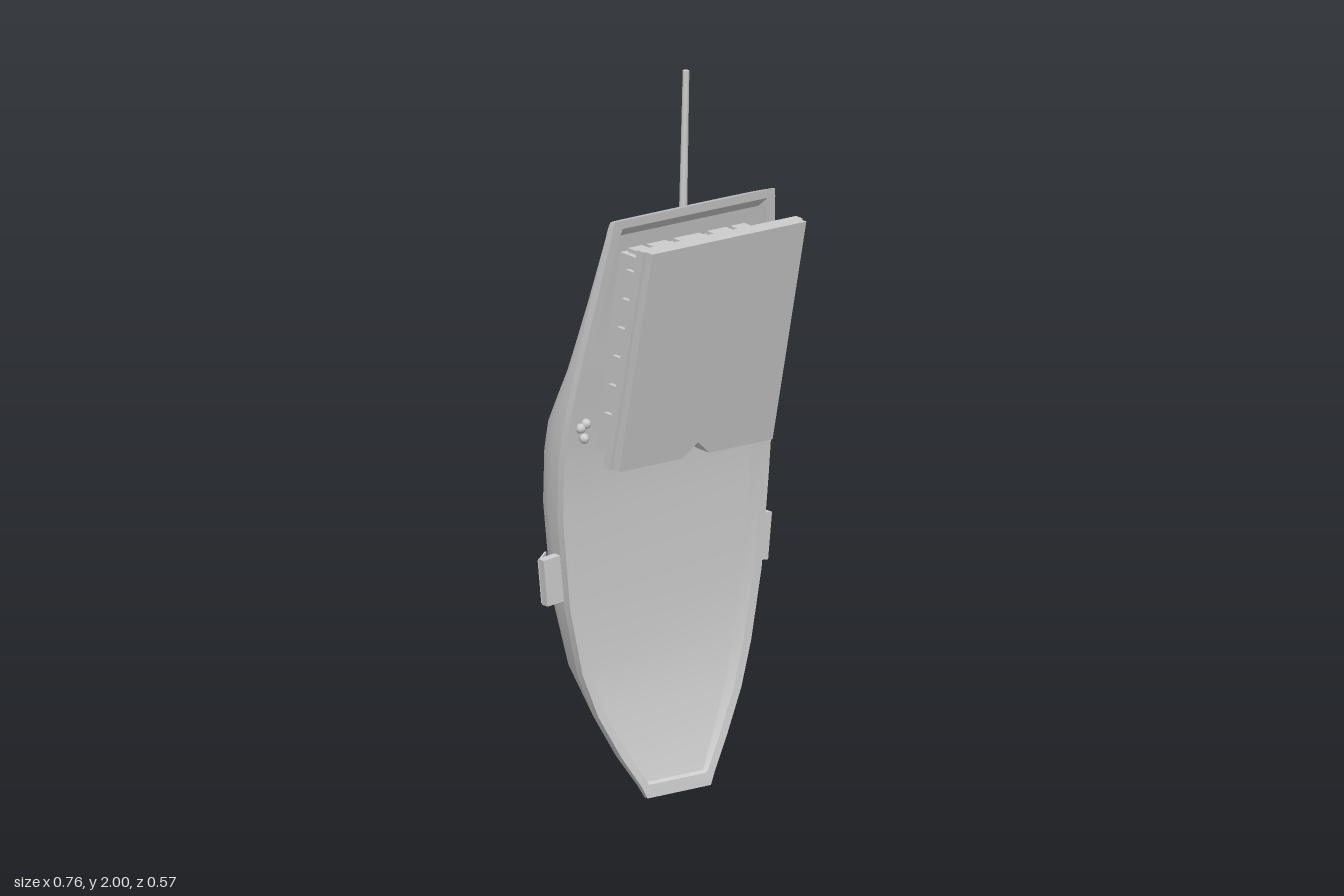
import * as THREE from 'three';
import { toCreasedNormals } from 'three/addons/utils/BufferGeometryUtils.js';

const material = new THREE.MeshStandardMaterial({ color: 0xcccccc, side: THREE.DoubleSide });

// Hull stations: y, half width, rim z, keel z, cockpit depth, section exponent
const STATIONS = [
  [0.0, 0.105, 0.06, 0.02, 0, 2],
  [0.035, 0.122, 0.055, 0.0, 0, 2],
  [0.04, 0.125, 0.054, -0.005, 0.012, 2],
  [0.12, 0.175, 0.037, -0.055, 0.022, 2],
  [0.24, 0.238, 0.018, -0.135, 0.032, 2],
  [0.36, 0.28, 0.005, -0.22, 0.04, 2.05],
  [0.55, 0.318, 0.0, -0.27, 0.04, 2.1],
  [0.8, 0.341, 0.0, -0.285, 0.04, 2.1],
  [0.95, 0.345, 0.01, -0.275, 0.04, 2.1],
  [1.03, 0.343, 0.022, -0.258, 0.04, 2.1],
  [1.12, 0.336, 0.037, -0.18, 0.04, 2.3],
  [1.2, 0.327, 0.052, -0.115, 0.04, 2.5],
  [1.26, 0.32, 0.062, -0.08, 0.04, 2.6],
  [1.4, 0.299, 0.086, -0.02, 0.04, 2.8],
  [1.59, 0.272, 0.12, 0.05, 0.03, 3],
  [1.62, 0.269, 0.126, 0.058, 0, 3],
  [1.645, 0.265, 0.13, 0.065, 0, 3],
];

// Closed cross-section: gunwale band, rounded bottom, then the cockpit recess
function hullSection([y, w, rim, keel, recess, e], index) {
  const depth = rim - keel;
  const band = Math.min(0.025, depth * 0.35);
  const points = [[w, rim], [w, rim - band]];
  const N = 16;
  for (let i = 0; i <= N; i++) {
    const a = (i / N) * Math.PI;
    const c = Math.cos(a), s = Math.sin(a);
    points.push([
      (w - 0.01) * Math.sign(c) * Math.abs(c) ** (2 / e),
      rim - band - (depth - band) * Math.abs(s) ** (2 / e),
    ]);
  }
  points.push([-w, rim - band], [-w, rim]);
  const inner = w - 0.026;
  points.push([-inner, rim], [-inner + 0.006, rim - recess], [inner - 0.006, rim - recess], [inner, rim]);
  // The transom slopes away from the rim
  const slant = index === STATIONS.length - 1 ? 0.02 : 0;
  return points.map(([x, z]) => [x, y - slant * (rim - z) / depth, z]);
}

function loft(sections) {
  const n = sections[0].length, last = sections.length - 1;
  const positions = sections.flat(2), indices = [];
  for (let i = 0; i < last; i++) {
    for (let j = 0; j < n; j++) {
      const a = i * n + j, b = i * n + (j + 1) % n;
      indices.push(a, b, b + n, a, b + n, a + n);
    }
  }
  for (let j = 1; j < n - 1; j++) {
    indices.push(0, j + 1, j, last * n, last * n + j, last * n + j + 1);
  }
  const g = new THREE.BufferGeometry();
  g.setAttribute('position', new THREE.Float32BufferAttribute(positions, 3));
  g.setIndex(indices);
  return toCreasedNormals(g, 0.6);
}

function polygon(points, depth) {
  const shape = new THREE.Shape(points.map(([x, y]) => new THREE.Vector2(x, y)));
  return new THREE.ExtrudeGeometry(shape, { depth, bevelEnabled: false });
}

// Slide every vertex in z with height, so the roof rises toward the stern
const SLOPE = 0.234;
const roofZ = (y) => SLOPE * (y - 0.95);
function shear(g) {
  const p = g.attributes.position;
  for (let i = 0; i < p.count; i++) p.setZ(i, p.getZ(i) + roofZ(p.getY(i)));
  g.computeVertexNormals();
  return g;
}

// Round-headed window, head along +y, extruded along +z
function archWindow(radius, height) {
  const s = new THREE.Shape();
  s.moveTo(-radius, 0);
  s.lineTo(radius, 0);
  s.lineTo(radius, height - radius);
  s.absarc(0, height - radius, radius, 0, Math.PI, false);
  s.closePath();
  return new THREE.ExtrudeGeometry(s, { depth: 0.014, bevelEnabled: false, curveSegments: 10 });
}

export function createModel() {
  const model = new THREE.Group();
  const add = (name, geometry, parent = model) => {
    const mesh = new THREE.Mesh(geometry, material);
    mesh.name = name;
    parent.add(mesh);
    return mesh;
  };

  add('hull', loft(STATIONS.map(hullSection)));

  // Cabin: walls from the deck up to the sloping roof
  const profile = [[0.97, -0.03], [1.54, 0.07], [1.54, roofZ(1.54) + 0.08], [0.97, roofZ(0.97) + 0.08]];
  const cabin = polygon(profile.map(([y, z]) => [-z, y]), 0.42);
  cabin.rotateY(Math.PI / 2).translate(-0.21, 0, 0);
  add('cabin', cabin);

  // Roof: two stacked slabs with a small notch in the forward edge
  const roofLayer = (w, z, depth) => shear(polygon([
    [-w, 0.95], [-0.045, 0.95], [0, 0.99], [0.045, 0.95], [w, 0.95], [w, 1.59], [-w, 1.59],
  ], depth).translate(0, 0, z));
  add('roofLower', roofLayer(0.264, 0.075, 0.03));
  add('roofUpper', roofLayer(0.255, 0.105, 0.028));

  // Stern windows, tallest in the middle
  for (const [x, r, top] of [[-0.17, 0.023, 0.175], [-0.1, 0.031, 0.198], [0, 0.043, 0.212], [0.1, 0.031, 0.198], [0.17, 0.023, 0.175]]) {
    const w = add('sternWindow', archWindow(r, top - 0.09));
    w.rotation.set(Math.PI / 2, 0, 0);
    w.scale.z = -1;
    w.position.set(x, 1.537, 0.09);
  }

  for (const side of [-1, 1]) {
    const sideName = side > 0 ? 'left' : 'right';

    // Side windows
    for (let i = 0; i < 6; i++) {
      const y = 1.06 + i * 0.084;
      const g = archWindow(0.023, 0.075).rotateX(Math.PI / 2).rotateZ(-Math.PI / 2);
      const w = add(sideName + 'Window', g);
      w.scale.x = -side;
      w.position.set(side * 0.208, y, roofZ(y) - 0.005);
    }

    // Mooring cleats beside the cabin
    for (const [x, y] of [[0.282, 1.02], [0.276, 1.06], [0.294, 1.05]]) {
      add(sideName + 'Cleat', new THREE.SphereGeometry(0.014, 10, 8)).position.set(side * x, y, 0.015);
    }

    // Side step: a plate with a sloping brace below
    const step = new THREE.Group();
    step.name = sideName + 'Step';
    add('plate', new THREE.BoxGeometry(0.055, 0.13, 0.025), step).position.set(side * 0.345, 0, -0.048);
    const brace = add('brace', new THREE.BoxGeometry(0.07, 0.12, 0.005), step);
    brace.position.set(side * 0.345, 0, -0.08);
    brace.rotation.y = -side * 0.66;
    step.position.y = 0.658;
    step.rotation.z = -side * 0.1;
    step.position.x = side * 0.002;
    model.add(step);
  }

  // Rudder: upper head and triangular blade under the stern
  const rudderPart = (points) => polygon(points.map(([z, y]) => [-z, y]), 0.02)
    .rotateY(Math.PI / 2).translate(-0.01, 0, 0);
  add('rudderHead', rudderPart([[-0.01, 1.41], [-0.27, 1.37], [-0.27, 1.3], [-0.05, 1.29]]));
  add('rudderBlade', rudderPart([[-0.06, 1.282], [-0.27, 1.282], [-0.27, 1.02], [-0.245, 1.03], [-0.09, 1.21]]));

  // Flagstaff on the transom
  const staff = add('flagstaff', new THREE.CylinderGeometry(0.009, 0.011, 0.38, 8));
  staff.position.set(0.013, 1.81, 0.066);
  staff.rotation.z = -0.025;

  return model;
}
